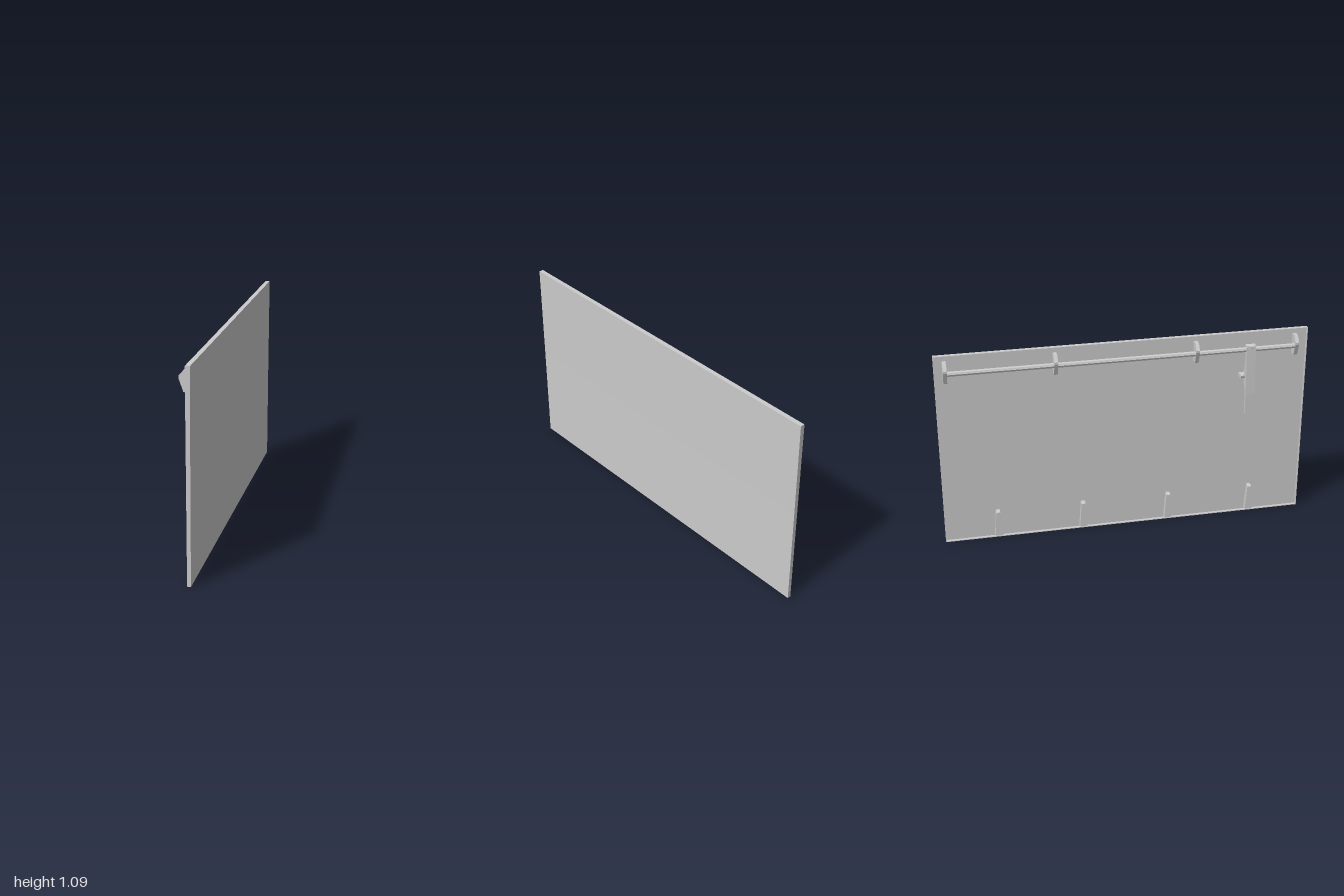
import * as THREE from 'three';

const material = new THREE.MeshStandardMaterial({ color: 0xcccccc, flatShading: true });

// Extrude an x-y profile along z, centred on z.
function prism(name, points, z, width) {
  const shape = new THREE.Shape(points.map(([x, y]) => new THREE.Vector2(x, y)));
  const geometry = new THREE.ExtrudeGeometry(shape, { depth: width, bevelEnabled: false });
  geometry.translate(0, 0, z - width / 2);
  const mesh = new THREE.Mesh(geometry, material);
  mesh.name = name;
  return mesh;
}

export function createModel() {
  const model = new THREE.Group();
  model.name = 'hingedPanel';
  const H = 1.087, inner = 0.032, lip = 0.016, rim = 0.004;

  // Shallow pan: outer skin with a thin folded rim all round
  const panel = new THREE.Group();
  panel.name = 'panel';
  panel.add(prism('skin', [[inner, 0], [0.035, 0], [0.037, 0.55], [0.04, H], [inner, H]], 0, 2));
  for (const y of [0, H - rim])
    panel.add(prism('rim', [[lip, y], [inner, y], [inner, y + rim], [lip, y + rim]], 0, 2));
  for (const s of [-1, 1])
    panel.add(prism('endRim', [[lip, rim], [inner, rim], [inner, H - rim], [lip, H - rim]], s * (1 - rim / 2), rim));
  model.add(panel);

  // Locking rod and the brackets carrying it
  const rod = new THREE.Mesh(new THREE.CylinderGeometry(0.014, 0.014, 1.87, 8), material);
  rod.name = 'lockingRod';
  rod.rotation.x = Math.PI / 2;
  rod.position.set(-0.012, 1.0, -0.01);
  model.add(rod);
  for (const z of [-0.945, -0.375, 0.38, 0.928])
    model.add(prism('rodBracket', [
      [inner, 1.055], [-0.002, 1.055], [-0.03, 1.022], [-0.03, 1.01], [-0.007, 0.945], [inner, 0.945],
    ], z, 0.02));

  // Cranked handle: rounded head around the rod, lever stepping outward to the grip
  const handle = new THREE.Group();
  handle.name = 'handle';
  const lever = prism('lever', [
    [-0.03, 1.02], [-0.036, 0.9], [-0.043, 0.75], [-0.043, 0.632], [-0.026, 0.632],
    [-0.026, 0.75], [0.004, 0.815], [0.005, 0.845], [-0.007, 0.945], [-0.012, 1.02],
  ], 0.672, 0.05);
  const head = new THREE.Mesh(new THREE.CylinderGeometry(0.02, 0.02, 0.05, 8), material);
  head.name = 'handleHead';
  head.rotation.x = Math.PI / 2;
  head.position.set(-0.011, 1.01, 0.672);
  handle.add(lever, head);
  model.add(handle);

  // Catch holding the lever against the panel
  model.add(prism('catch', [
    [inner, 0.853], [-0.02, 0.853], [-0.018, 0.842], [-0.008, 0.834], [inner, 0.834],
  ], 0.655, 0.06));

  // Hinge straps along the bottom, narrowing upward
  for (const z of [-0.71, -0.24, 0.24, 0.71]) {
    const strap = prism('hingeStrap', [
      [inner, 0.163], [0.014, 0.163], [0.003, 0.157], [0.003, 0.015], [0.014, 0.01], [inner, 0.01],
    ], 0, 0.044);
    const p = strap.geometry.attributes.position;
    for (let i = 0; i < p.count; i++) p.setZ(i, p.getZ(i) * (1 - 3.2 * p.getY(i)));
    strap.geometry.computeVertexNormals();
    strap.position.z = z;
    model.add(strap);
  }
  return model;
}
